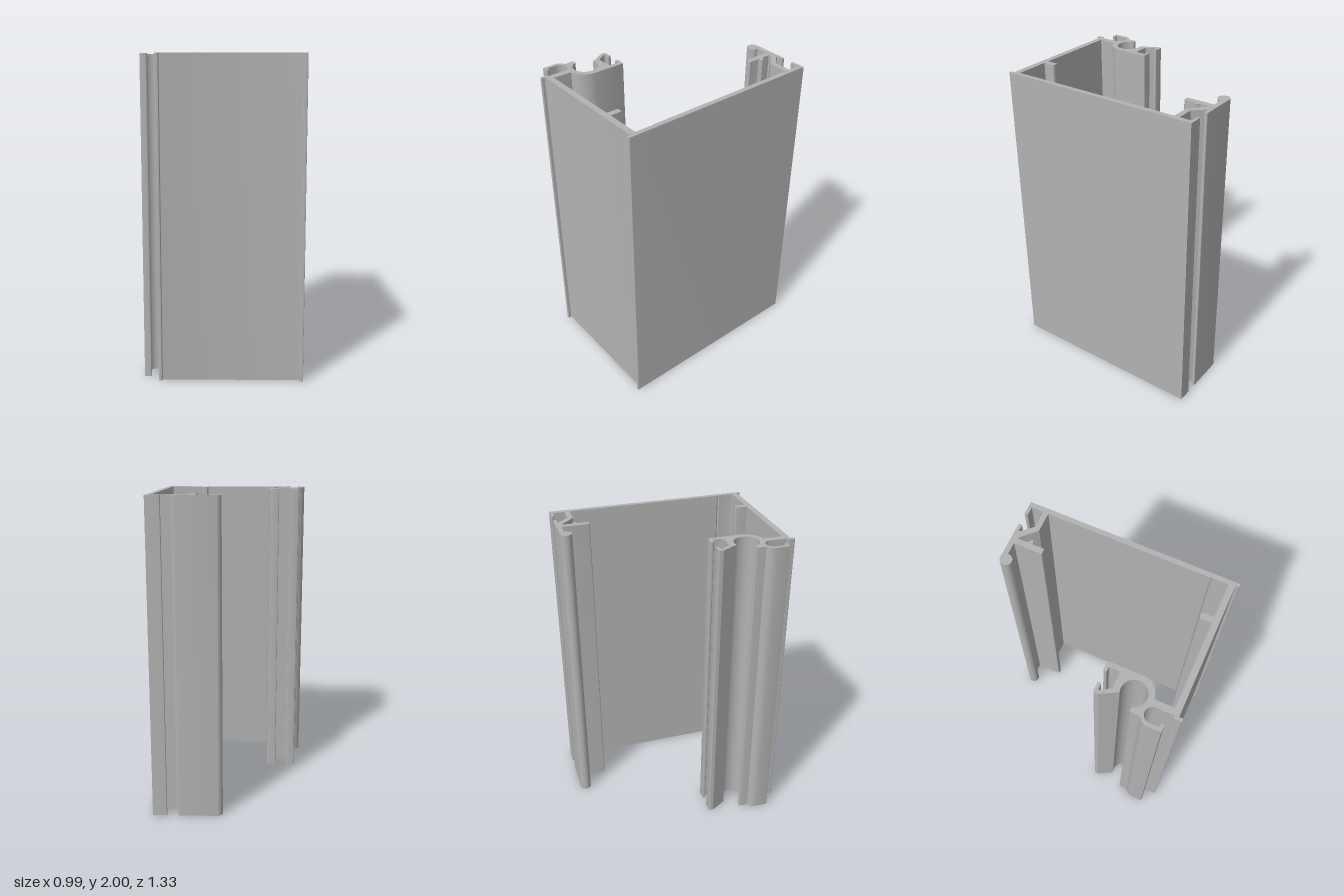
import * as THREE from 'three';
import { toCreasedNormals } from 'three/addons/utils/BufferGeometryUtils.js';

const HEIGHT = 2;

// Arc in plan, angles in degrees (90 points to the front)
function arc(cx, cz, r, from, to) {
  const n = Math.max(4, Math.ceil(Math.abs(to - from) / 7));
  return Array.from({ length: n + 1 }, (_, i) => {
    const a = THREE.MathUtils.degToRad(from + ((to - from) * i) / n);
    return [cx + r * Math.cos(a), cz + r * Math.sin(a)];
  });
}

// Plan outline of [x, z, cornerRadius] points, extruded upwards
function extrusion(name, points, material) {
  const pts = [];
  const n = points.length;
  points.forEach(([x, z, r], i) => {
    const p = new THREE.Vector2(x, -z);
    if (!r) return pts.push(p);
    const ends = [points[(i + n - 1) % n], points[(i + 1) % n]].map(([ex, ez]) =>
      new THREE.Vector2(ex, -ez).sub(p).setLength(r * 0.98).add(p));
    pts.push(...new THREE.QuadraticBezierCurve(ends[0], p, ends[1]).getPoints(6));
  });
  const geo = new THREE.ExtrudeGeometry(new THREE.Shape(pts), { depth: HEIGHT, bevelEnabled: false });
  geo.rotateX(-Math.PI / 2);
  geo.translate(0.0015, 0, 0.003);
  const mesh = new THREE.Mesh(toCreasedNormals(geo, 0.5), material);
  mesh.name = name;
  return mesh;
}

export function createModel() {
  const group = new THREE.Group();
  group.name = 'cornerProfile';
  const aluminium = new THREE.MeshStandardMaterial({ color: 0xb2b2b2 });
  aluminium.name = 'aluminium grey';

  // Front plate and side wall in one L, with drip feet, inner rib and back lip
  group.add(extrusion('frontPlateAndSideWall', [
    [-0.4, 0.614, 0.006], [-0.382, 0.614], [-0.382, 0.598], [0.203, 0.598],
    [0.203, 0.522, 0.009], [0.24, 0.522, 0.009], [0.24, 0.598],
    [0.464, 0.598, 0.008], [0.464, 0.502], [0.469, 0.494], [0.462, 0.486],
    [0.462, -0.538, 0.008], [0.462, -0.572, 0.008], [0.462, -0.646],
    [0.404, -0.646, 0.005], [0.404, -0.667, 0.005], [0.494, -0.667],
    [0.494, 0.66, 0.004], [0.474, 0.66, 0.006], [0.474, 0.637, 0.006],
    [-0.38, 0.637, 0.006], [-0.38, 0.66, 0.004], [-0.4, 0.66, 0.004],
  ], aluminium));

  // Back flange with round bead, stop rib, barb and diagonal web
  group.add(extrusion('backFlange', [
    [0.332, -0.667, 0.005], [0.332, -0.646, 0.005], [0.288, -0.646], [0.288, -0.638],
    [0.351, -0.572], [0.464, -0.572], [0.464, -0.538], [0.337, -0.538],
    [0.253, -0.621], [0.24, -0.621], [0.24, -0.568], [0.267, -0.543, 0.004],
    [0.258, -0.535, 0.005], [0.24, -0.533, 0.006],
    [0.24, -0.457, 0.008], [0.203, -0.457, 0.008], [0.203, -0.635],
    ...arc(0.088, -0.63, 0.037, -8, 270),
  ], aluminium));

  // Hinge channel: stem, screw boss, slotted pocket and hooked lip
  group.add(extrusion('hingeChannel', [
    [-0.342, 0.6], ...arc(-0.357, 0.366, 0.114, 82, 0),
    [-0.243, 0.16, 0.006], [-0.305, 0.16, 0.007], [-0.305, 0.181, 0.007],
    [-0.273, 0.181], [-0.273, 0.247, 0.007], [-0.379, 0.247],
    [-0.415, 0.19], [-0.415, 0.181], [-0.376, 0.181, 0.005], [-0.376, 0.16, 0.005],
    [-0.44, 0.16, 0.008], [-0.44, 0.19],
    ...arc(-0.357, 0.366, 0.078, -109, 151),
    [-0.434, 0.383, 0.014], [-0.462, 0.383, 0.014],
    ...arc(-0.434, 0.502, 0.063, 244, 180),
    [-0.497, 0.583, 0.004], [-0.453, 0.583, 0.009], [-0.453, 0.562, 0.009],
    [-0.476, 0.562, 0.008], ...arc(-0.429, 0.505, 0.047, 180, 360),
    [-0.382, 0.6],
  ], aluminium));

  return group;
}
